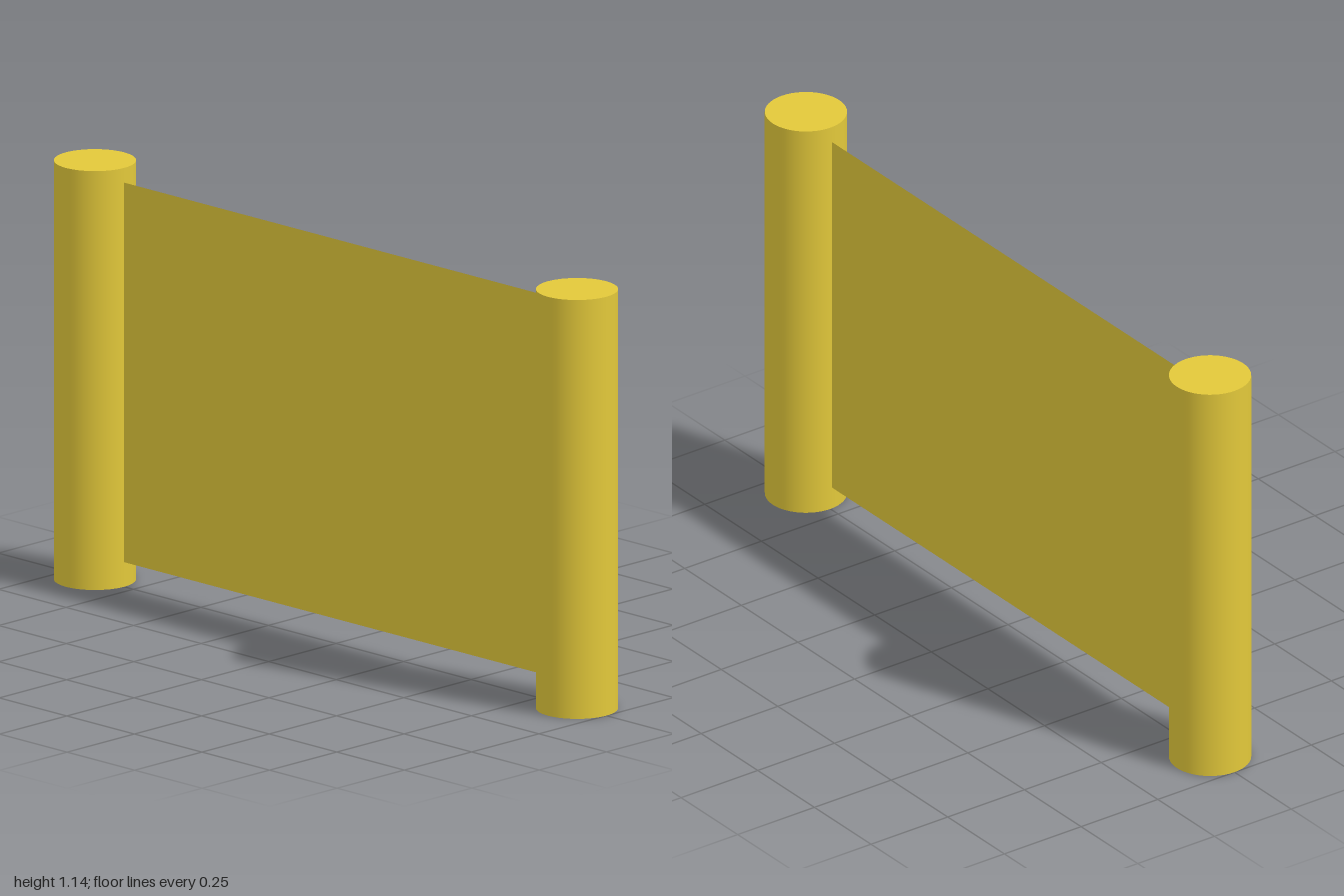
import * as THREE from 'three';

export function createModel() {
  const model = new THREE.Group();
  model.name = 'scroll';
  const color = 0xe2c83a;
  const radius = 0.108, height = 1.14;

  // Two upright rolls
  const rollGeometry = new THREE.CylinderGeometry(radius, radius, height, 48);
  const rollMaterial = new THREE.MeshStandardMaterial({ color });
  for (const [name, side] of [['leftRoll', 1], ['rightRoll', -1]]) {
    const roll = new THREE.Mesh(rollGeometry, rollMaterial);
    roll.name = name;
    roll.position.set(side * (1 - radius), height / 2, 0);
    model.add(roll);
  }

  // Flat sheet stretched between the rolls, just short of the left one
  const x0 = -0.795, x1 = 0.777, y0 = 0.067, y1 = 1.1;
  const sheet = new THREE.Mesh(
    new THREE.PlaneGeometry(x1 - x0, y1 - y0),
    new THREE.MeshStandardMaterial({ color, side: THREE.DoubleSide })
  );
  sheet.name = 'sheet';
  sheet.position.set((x0 + x1) / 2, (y0 + y1) / 2, 0);
  model.add(sheet);

  return model;
}
